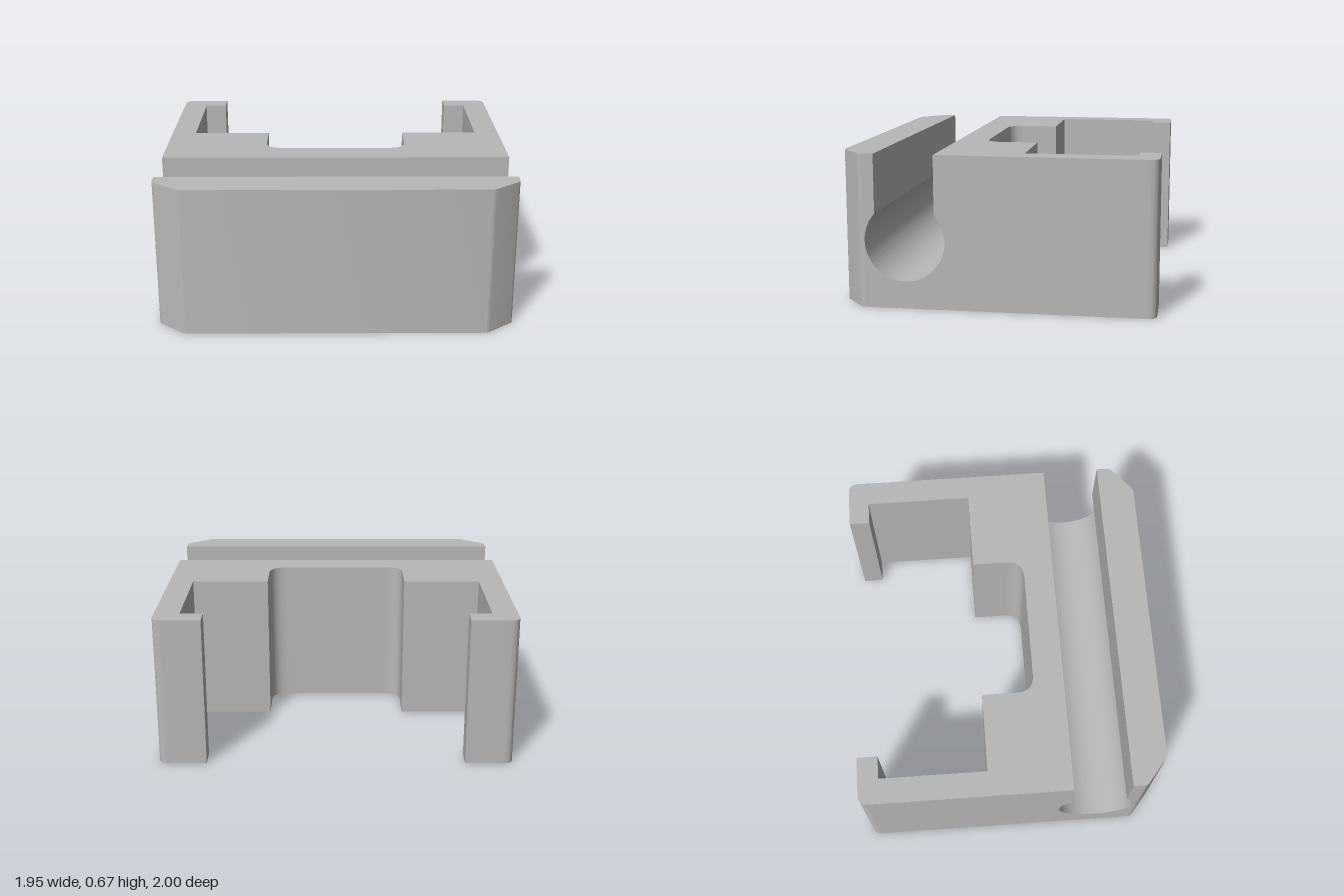
import * as THREE from 'three';
import { toCreasedNormals } from 'three/addons/utils/BufferGeometryUtils.js';

const HEIGHT = 0.67, HALF = 0.787;
const SEAM_BACK = 0.22, SEAM_FRONT = 0.603;
const BORE = { v: 0.425, y: 0.295, r: 0.175, slot: 0.13 };

// Closed outline from [u, v, setback] corners; a setback rounds that corner.
function outline(corners) {
  const shape = new THREE.Shape();
  const n = corners.length;
  const pt = (i) => new THREE.Vector2(corners[(i + n) % n][0], -corners[(i + n) % n][1]);
  for (let i = 0; i < n; i++) {
    const p = pt(i), t = corners[i][2] || 0;
    const a = p.clone().add(pt(i - 1).sub(p).setLength(t));
    const b = p.clone().add(pt(i + 1).sub(p).setLength(t));
    if (i === 0) shape.moveTo(a.x, a.y);
    else shape.lineTo(a.x, a.y);
    if (t) shape.quadraticCurveTo(p.x, p.y, b.x, b.y);
  }
  shape.closePath();
  return shape;
}

// Mirror a half outline across u = 0
const mirrored = (half) =>
  outline([...half, ...half.slice().reverse().map(([u, v, t]) => [-u, v, t])]);

// Remove hidden walls where neighbouring parts join, then smooth the curved walls
function finish(geometry) {
  const src = geometry.index ? geometry.toNonIndexed() : geometry;
  const p = src.attributes.position;
  const kept = [];
  for (let i = 0; i < p.count; i += 3) {
    const hidden = [SEAM_BACK, SEAM_FRONT].some((s) =>
      [0, 1, 2].every((k) => Math.abs(p.getZ(i + k) - s) < 1e-4));
    if (hidden) continue;
    for (let k = 0; k < 3; k++) kept.push(p.getX(i + k), p.getY(i + k), p.getZ(i + k));
  }
  const out = new THREE.BufferGeometry();
  out.setAttribute('position', new THREE.Float32BufferAttribute(kept, 3));
  out.computeVertexNormals();
  return toCreasedNormals(out, 0.5);
}

// Plan outline raised to full height
function upright(shape) {
  const g = new THREE.ExtrudeGeometry(shape, { depth: HEIGHT, bevelEnabled: false, curveSegments: 10 });
  return finish(g.rotateX(-Math.PI / 2));
}

// Keyhole cross-section swept along the length of the block
function channel() {
  const { v, y, r, slot } = BORE;
  const a = Math.acos(slot / r);
  const s = new THREE.Shape();
  s.moveTo(-SEAM_FRONT, 0);
  s.lineTo(-SEAM_BACK, 0);
  s.lineTo(-SEAM_BACK, HEIGHT);
  s.lineTo(-v + slot, HEIGHT);
  s.absarc(-v, y, r, a, Math.PI - a, true);
  s.lineTo(-v - slot, HEIGHT);
  s.lineTo(-SEAM_FRONT, HEIGHT);
  s.closePath();
  const g = new THREE.ExtrudeGeometry(s, { depth: 2 * HALF, bevelEnabled: false, curveSegments: 48 });
  return finish(g.rotateY(Math.PI / 2).translate(-HALF, 0, 0));
}

export function createModel() {
  const grey = new THREE.MeshStandardMaterial({ color: 0xb8b8b8 });
  grey.name = 'plain grey';

  const model = new THREE.Group();
  model.name = 'clipBlock';
  const add = (name, geometry) => {
    const mesh = new THREE.Mesh(geometry, grey);
    mesh.name = name;
    model.add(mesh);
  };

  // Back: hooked arms, stepped shoulders and rounded recess
  add('hookedArms', upright(mirrored([
    [HALF, SEAM_BACK],
    [HALF, -0.651, 0.045],
    [0.574, -0.651],
    [0.574, -0.558],
    [0.675, -0.558],
    [0.675, -0.078],
    [0.323, -0.078],
    [0.323, 0.158, 0.08],
  ])));

  // Middle: keyhole channel open at the top
  add('keyholeChannel', channel());

  // Front: wall with chamfered ends
  add('chamferedFrontWall', upright(mirrored([
    [HALF, SEAM_FRONT],
    [HALF, 0.618, 0.014],
    [0.665, 0.719, 0.014],
  ])));

  // The block stands at an angle to the axes
  model.rotation.y = 0.929;
  model.position.set(-0.003, 0, 0.004);
  const root = new THREE.Group();
  root.name = 'model';
  root.add(model);
  return root;
}
